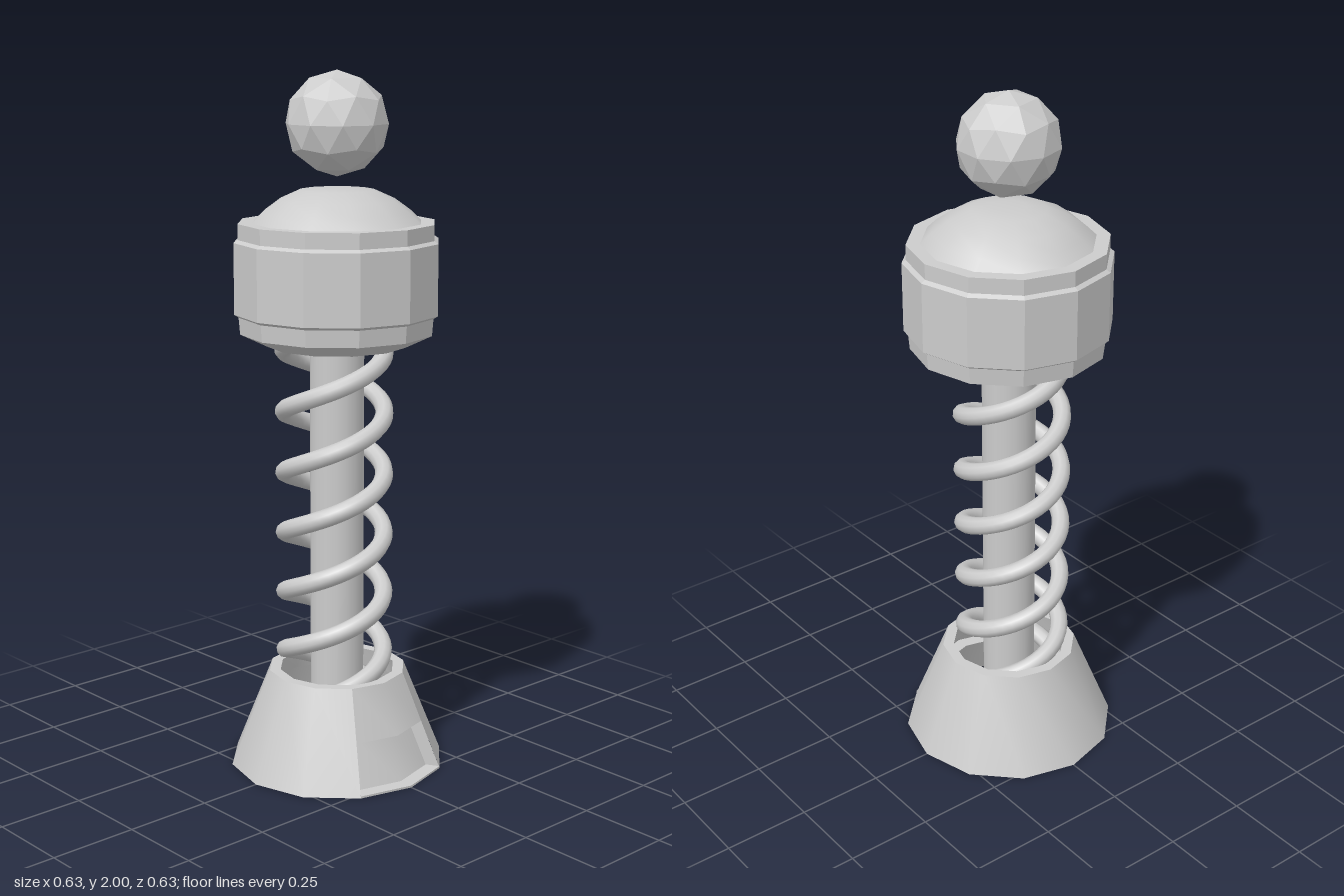
import * as THREE from 'three';
import { toCreasedNormals } from 'three/addons/utils/BufferGeometryUtils.js';

const grey = new THREE.MeshStandardMaterial({ color: 0xcccccc });
const flat = new THREE.MeshStandardMaterial({ color: 0xcccccc, flatShading: true });
const thin = new THREE.MeshStandardMaterial({ color: 0xcccccc, side: THREE.DoubleSide });
const SIDES = 12;
const points = (list) => list.map(([x, y]) => new THREE.Vector2(x, y));

function add(parent, name, geometry, material) {
  const mesh = new THREE.Mesh(geometry, material);
  mesh.name = name;
  parent.add(mesh);
  return mesh;
}

// Turned part: smooth around, sharp across strong profile bends
function turned(profile, sides = SIDES, start = 0, length = Math.PI * 2) {
  return toCreasedNormals(new THREE.LatheGeometry(points(profile), sides, start, length), 0.6);
}

// Double-strand spring: rises anticlockwise seen from above
class Helix extends THREE.Curve {
  constructor(phase, y0, y1) {
    super();
    Object.assign(this, { phase, y0, y1 });
  }
  getPoint(t, target = new THREE.Vector3()) {
    const y = this.y0 + (this.y1 - this.y0) * t;
    const a = ((y - 1.0) / 0.355) * Math.PI * 2 + this.phase;
    return target.set(0.143 * Math.sin(a), y, 0.143 * Math.cos(a));
  }
}

function makeBase() {
  const base = new THREE.Group();
  base.name = 'base';
  const third = Math.PI / 6;

  // Hollow cone wall, leaving the two front facets for the recess
  add(base, 'coneWall', turned([[0.314, 0], [0.2, 0.283]], 10, third, third * 10), thin);

  // Front facets: sill, sunken panel, overhang and upper wall
  const recess = [[0.314, 0], [0.314, 0.006], [0.272, 0.006], [0.217, 0.14], [0.257, 0.14]];
  add(base, 'frontRecess', turned([...recess, [0.2, 0.283]], 2, -third, third * 2), thin);

  // Side walls of the recess
  for (const side of [-1, 1]) {
    const jamb = add(base, 'recessSide', new THREE.ShapeGeometry(new THREE.Shape(points(recess))), thin);
    jamb.rotation.y = side * third - Math.PI / 2;
  }

  // Top rim with its inner lip
  add(base, 'topRim', turned([[0.2, 0.283], [0.168, 0.283], [0.185, 0.225]]), thin);
  return base;
}

function makeSpring() {
  const spring = new THREE.Group();
  spring.name = 'spring';
  spring.position.x = -0.011;
  for (const phase of [0, Math.PI]) {
    const path = new Helix(phase, 0.17, 1.29);
    add(spring, 'springStrand', new THREE.TubeGeometry(path, 120, 0.026, 10), grey);
    for (const t of [0, 1]) {
      const end = add(spring, 'springEnd', new THREE.SphereGeometry(0.026, 10, 6), grey);
      end.position.copy(path.getPoint(t));
    }
  }
  return spring;
}

function makeHead() {
  const head = new THREE.Group();
  head.name = 'head';

  // Faceted drum with a wide middle band
  add(head, 'drum', new THREE.LatheGeometry(points([
    [0, 1.24], [0.2, 1.24], [0.276, 1.277], [0.28, 1.325], [0.292, 1.333],
    [0.292, 1.533], [0.28, 1.541], [0.28, 1.585], [0.235, 1.585],
  ]), SIDES), flat);

  // Shallow smooth dome
  add(head, 'dome', turned([
    [0.242, 1.584], [0.212, 1.613], [0.165, 1.647], [0.105, 1.674], [0.05, 1.679], [0, 1.68],
  ]), grey);

  // Faceted ball standing on one corner
  const ball = add(head, 'ball', new THREE.IcosahedronGeometry(0.145, 1), flat);
  ball.rotation.z = -Math.atan(2 / (1 + Math.sqrt(5)));
  ball.position.y = 1.855;
  return head;
}

export function createModel() {
  const model = new THREE.Group();
  model.name = 'springPost';
  model.add(makeBase(), makeSpring(), makeHead());

  // Central post
  const post = add(model, 'post', new THREE.CylinderGeometry(0.077, 0.077, 1.1, 16), grey);
  post.position.y = 0.72;
  return model;
}
